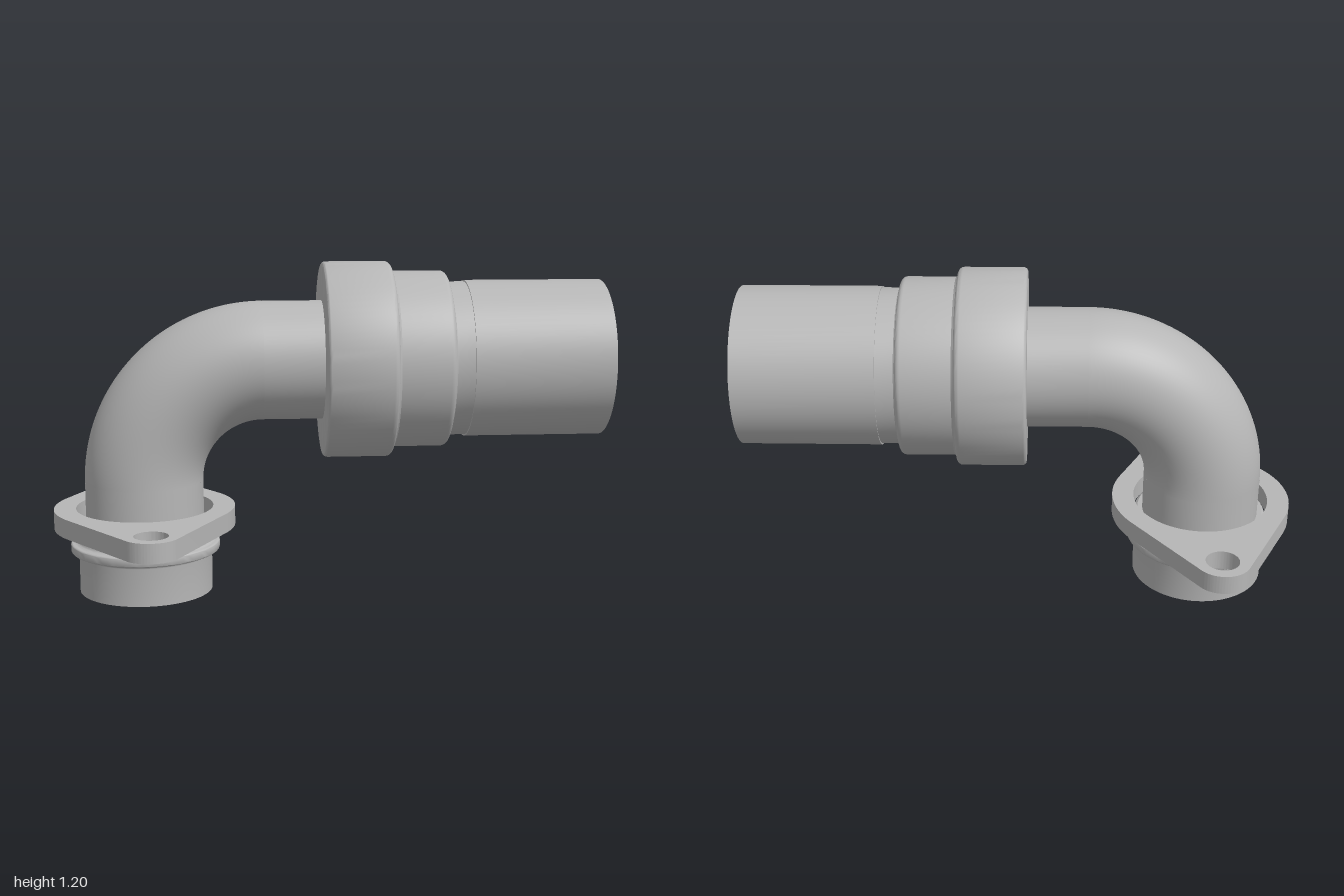
import * as THREE from 'three';
import { toCreasedNormals } from 'three/addons/utils/BufferGeometryUtils.js';

const AXIS_X = -0.67; // axis of the vertical leg
const AXIS_Y = 0.845; // axis of the horizontal leg
const BEND = 0.435; // centreline bend radius

export function createModel() {
  const group = new THREE.Group();
  const steel = new THREE.MeshStandardMaterial({ color: 0xb6b6b6, side: THREE.DoubleSide });
  steel.name = 'grey steel';

  const add = (name, geometry) => {
    const mesh = new THREE.Mesh(geometry, steel);
    mesh.name = name;
    group.add(mesh);
    return mesh;
  };
  // Profiles are [radius, distance along the axis]
  const turn = (profile) =>
    toCreasedNormals(new THREE.LatheGeometry(profile.map(([r, d]) => new THREE.Vector2(r, d)), 80), 0.6);
  const upright = (name, profile) => add(name, turn(profile).translate(AXIS_X, 0, 0));
  const lying = (name, profile) => add(name, turn(profile).rotateZ(-Math.PI / 2).translate(0, AXIS_Y, 0));
  // Points of a quarter round, from angle a0 to a1
  const round = (r, d, size, a0, a1) =>
    Array.from({ length: 6 }, (_, i) => {
      const a = a0 + ((a1 - a0) * i) / 5;
      return [r + size * Math.cos(a), d + size * Math.sin(a)];
    });
  const Q = Math.PI / 2;

  // Elbow: outer skin and bore
  for (const [name, r] of [['elbowPipe', 0.215], ['elbowBore', 0.195]]) {
    add(name, new THREE.TorusGeometry(BEND, r, 64, 48, Q).rotateZ(Q).translate(AXIS_X + BEND, AXIS_Y - BEND, 0));
    upright(name + 'Upright', [[r, 0.25], [r, AXIS_Y - BEND]]);
    lying(name + 'Lying', [[r, AXIS_X + BEND], [r, 0.02]]);
  }

  // Spigot under the flange, with its bead and shoulder
  upright('spigot', [
    [0.195, 0.27], [0.2, 0.24], [0.215, 0.2], [0.228, 0.15], [0.231, 0], [0.243, 0],
    [0.243, 0.138], ...round(0.255, 0.138, 0.012, Math.PI, Q),
    ...round(0.264, 0.158, 0.008, -Q, 0), ...round(0.264, 0.177, 0.008, 0, Q),
    ...round(0.26, 0.202, 0.017, -Q, -Math.PI),
    [0.243, 0.25], [0.233, 0.258], [0.214, 0.258],
  ]);

  // Flange plate: hull of the central disc and two ears
  const disc = { x: AXIS_X, y: 0, r: 0.33 };
  const ears = [{ x: -0.63, y: 0.435, r: 0.1 }, { x: -0.71, y: -0.44, r: 0.1 }];
  const hull = [ears[0], disc, ears[1], disc];
  const tangent = (a, b) => {
    const dx = b.x - a.x, dy = b.y - a.y;
    return Math.atan2(dy, dx) - Math.acos((a.r - b.r) / Math.hypot(dx, dy));
  };
  const plate = new THREE.Shape();
  hull.forEach((c, i) => {
    plate.absarc(c.x, c.y, c.r, tangent(hull[(i + 3) % 4], c), tangent(c, hull[(i + 1) % 4]), false);
  });
  for (const [x, y, r] of [[AXIS_X, 0, 0.25], ...ears.map((e) => [e.x, e.y, 0.06])]) {
    plate.holes.push(new THREE.Path().absarc(x, y, r, 0, Math.PI * 2, true));
  }
  const flange = new THREE.ExtrudeGeometry(plate, { depth: 0.07, bevelEnabled: false, curveSegments: 40 });
  add('flange', toCreasedNormals(flange.rotateX(Q).translate(0, 0.31, 0), 0.5));

  // Stepped coupling with rounded shoulders
  lying('coupling', [
    [0.195, -0.02], ...round(0.34, -0.005, 0.015, -Q, 0),
    ...round(0.335, 0.208, 0.02, 0, Q), [0.328, 0.228], [0.32, 0.236],
    ...round(0.3, 0.41, 0.02, 0, Q), [0.285, 0.43], [0.28, 0.436],
    [0.28, 0.5],
  ]);

  // Outer sleeve, with a deep groove behind its rim
  lying('outletSleeve', [
    [0.28, 0.5], [0.285, 0.5], [0.285, 1], [0.277, 1], [0.267, 0.99], [0.267, 0.55], [0.235, 0.55],
  ]);

  // Inner outlet tube, set back slightly from the sleeve
  lying('outletTube', [
    [0.24, 0.55], [0.24, 0.93], [0.215, 0.955], [0.2, 0.975],
    [0.18, 0.975], [0.18, 0.9], [0.195, 0.8], [0.195, 0],
  ]);

  return group;
}
